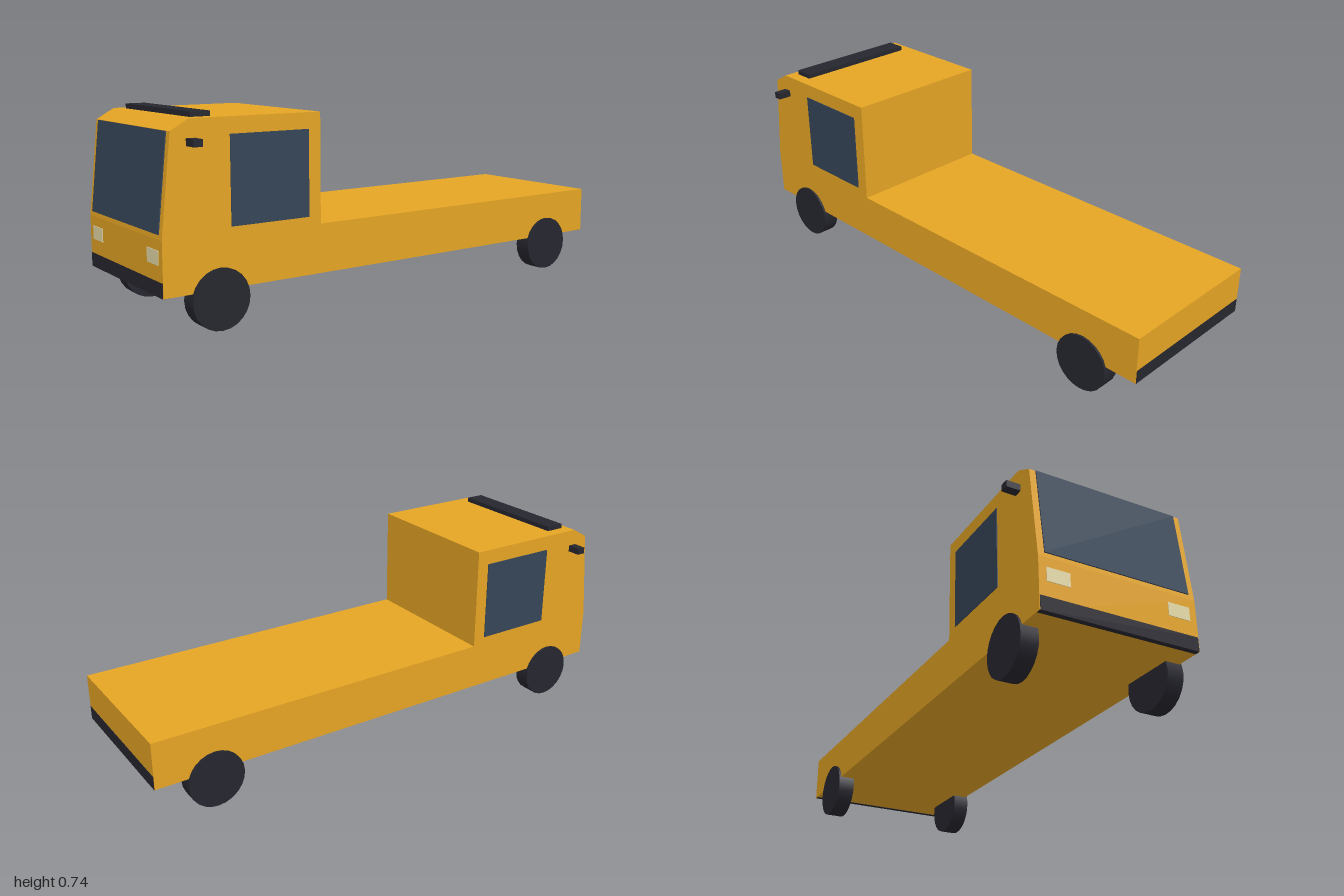
import * as THREE from 'three';

const material = (name, color) => {
  const m = new THREE.MeshStandardMaterial({ color });
  m.name = name;
  return m;
};

export function createModel() {
  const truck = new THREE.Group();
  truck.name = 'flatbedTruck';
  const paint = material('amber paint', 0xe6a524);
  const glass = material('dark glass', 0x354558);
  const dark = material('black rubber', 0x26262f);
  const lamp = material('headlight cream', 0xe8dcaa);

  const add = (name, geometry, mat, x, y, z) => {
    const mesh = new THREE.Mesh(geometry, mat);
    mesh.name = name;
    mesh.position.set(x, y, z);
    truck.add(mesh);
    return mesh;
  };
  const box = (name, mat, w, h, d, x, y, z) =>
    add(name, new THREE.BoxGeometry(w, h, d), mat, x, y, z);

  // Cab and flat bed: one side profile (z, y) extruded across the width
  const halfWidth = 0.302;
  const profile = [
    [-0.998, 0.14], [0.998, 0.14], [0.998, 0.33], [0.96, 0.68],
    [0.893, 0.718], [0.385, 0.718], [0.385, 0.32], [-0.998, 0.32],
  ].map(([z, y]) => new THREE.Vector2(z, y));
  const bodyGeometry = new THREE.ExtrudeGeometry(new THREE.Shape(profile), {
    depth: halfWidth * 2, bevelEnabled: false,
  });
  bodyGeometry.translate(0, 0, -halfWidth);
  bodyGeometry.rotateY(-Math.PI / 2);
  add('cabAndBed', bodyGeometry, paint, 0, 0, 0);

  // Windscreen lies on the sloping cab front
  const slope = Math.atan2(0.038, 0.35);
  const screen = box('windscreen', glass, 0.556, 0.334, 0.006, 0, 0.513, 0.979);
  screen.rotation.x = -slope;

  // Roof light bar
  box('roofBar', dark, 0.51, 0.018, 0.075, 0, 0.727, 0.828);

  // Bumper strips set into both ends
  for (const [name, z] of [['frontBumper', 0.989], ['rearBumper', -0.989]]) {
    box(name, dark, 0.6, 0.052, 0.02, 0, 0.165, z);
  }

  // Parts mirrored on both sides
  const wheelGeometry = new THREE.CylinderGeometry(0.108, 0.108, 0.066, 24);
  wheelGeometry.rotateZ(Math.PI / 2);
  for (const [side, s] of [['left', 1], ['right', -1]]) {
    box(side + 'SideWindow', glass, 0.004, 0.31, 0.31, s * (halfWidth + 0.001), 0.505, 0.59);
    box(side + 'Mirror', dark, 0.055, 0.025, 0.033, s * 0.328, 0.642, 0.888);
    box(side + 'Headlight', lamp, 0.086, 0.05, 0.006, s * 0.231, 0.27, 0.997);
    for (const [end, z] of [['Front', 0.79], ['Rear', -0.77]]) {
      add(side + end + 'Wheel', wheelGeometry, dark, s * 0.278, 0.108, z);
    }
  }
  return truck;
}
